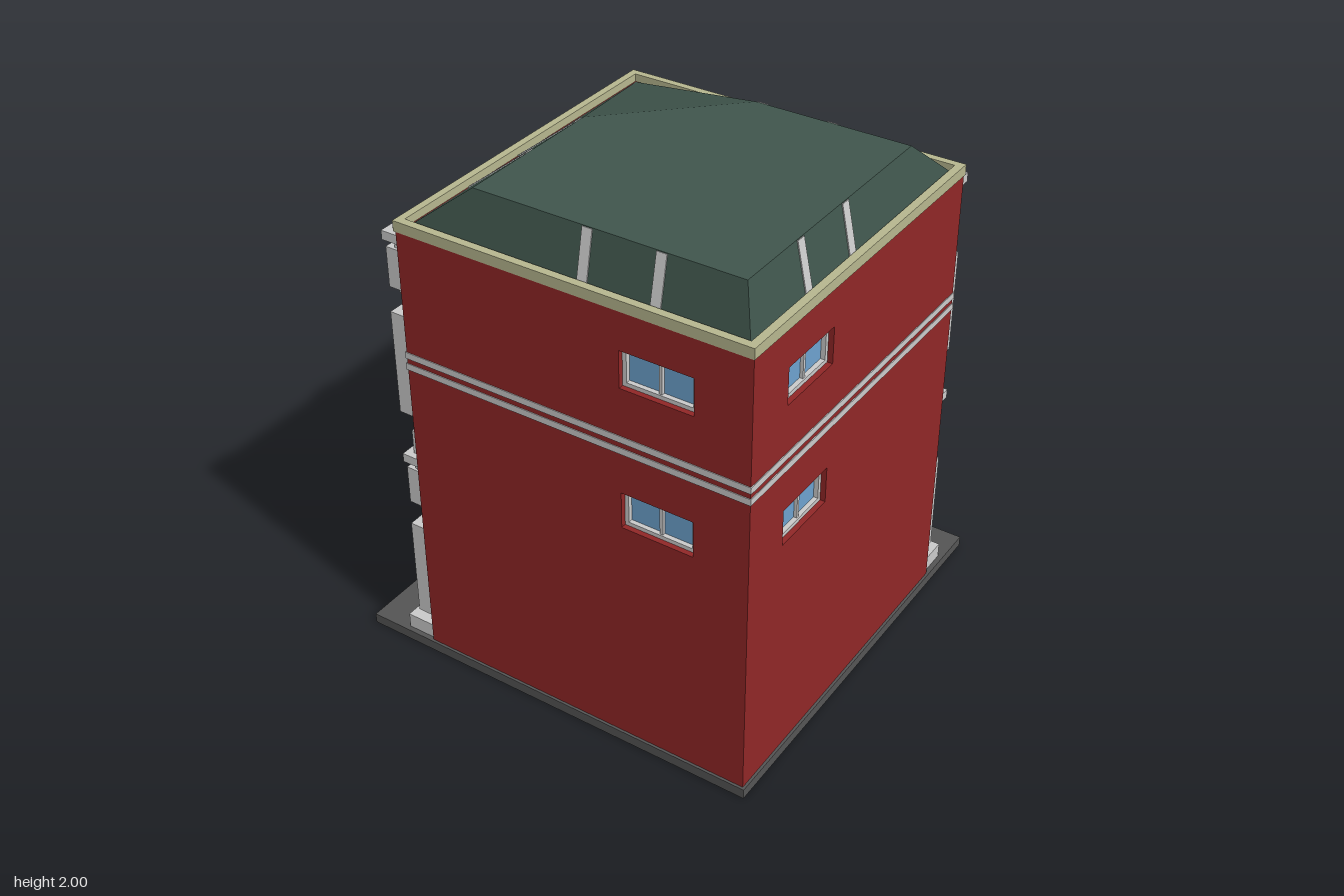
import * as THREE from 'three';
import { ConvexGeometry } from 'three/addons/geometries/ConvexGeometry.js';

const mat = (color) => new THREE.MeshStandardMaterial({ color });
const GREY = mat(0xcccccc), RED = mat(0x912727), GLASS = mat(0x6ea3cf);
const ROOF = mat(0x40564d), TRIM = mat(0xb8b890), GROUND = mat(0x555555);

function add(parent, name, geometry, material) {
  const mesh = new THREE.Mesh(geometry, material);
  mesh.name = name;
  parent.add(mesh);
  return mesh;
}

// Box given by its limits on each axis
function box(parent, name, material, x0, x1, y0, y1, z0, z1) {
  const g = new THREE.BoxGeometry(Math.abs(x1 - x0), y1 - y0, z1 - z0);
  g.translate((x0 + x1) / 2, (y0 + y1) / 2, (z0 + z1) / 2);
  return add(parent, name, g, material);
}

// Counter-clockwise shape, so that walls of holes face the right way
function shapeOf(pts) {
  const v = pts.map(([x, y]) => new THREE.Vector2(x, y));
  return new THREE.Shape(THREE.ShapeUtils.isClockWise(v) ? v.reverse() : v);
}
const rect = (x0, x1, y0, y1) => [[x0, y0], [x1, y0], [x1, y1], [x0, y1]];

// Flat plate in the xy plane with holes, from z0 to z1
function plate(parent, name, material, outline, holes, z0, z1) {
  const shape = shapeOf(outline);
  holes.forEach((h) => shape.holes.push(shapeOf(h)));
  const g = new THREE.ExtrudeGeometry(shape, { depth: z1 - z0, bevelEnabled: false });
  return add(parent, name, g.translate(0, 0, z0), material);
}

// Plate lying flat: points are (x, z), between heights y0 and y1
function slab(parent, name, material, pts, holes, y0, y1) {
  const flip = (p) => p.map(([x, z]) => [x, -z]);
  const mesh = plate(parent, name, material, flip(pts), holes.map(flip), y0, y1);
  mesh.geometry.rotateX(-Math.PI / 2);
  return mesh;
}

const frame = (parent, name, x0, x1, y0, y1, t, z0, z1) =>
  plate(parent, name, GREY, rect(x0, x1, y0, y1), [rect(x0 + t, x1 - t, y0 + t, y1 - t)], z0, z1);

// Framed window: pane columns and the heights of its cross rails
function addWindow(parent, name, a, b, y0, y1, z, cols, rails) {
  const g = new THREE.Group();
  g.name = name;
  parent.add(g);
  const x0 = Math.min(a, b), x1 = Math.max(a, b);
  box(g, 'glass', GLASS, x0 + 0.005, x1 - 0.005, y0 + 0.005, y1 - 0.005, z - 0.01, z + 0.008);
  frame(g, 'windowFrame', x0, x1, y0, y1, 0.015, z, z + 0.025);
  for (let i = 1; i < cols; i++) {
    const x = x0 + ((x1 - x0) * i) / cols;
    box(g, 'mullion', GREY, x - 0.006, x + 0.006, y0, y1, z, z + 0.02);
  }
  rails.forEach((y) => box(g, 'rail', GREY, x0, x1, y - 0.006, y + 0.006, z, z + 0.03));
}

// Ornate pilaster, two stacked orders
function addColumn(parent, x, z) {
  const g = new THREE.Group();
  g.name = 'column';
  g.position.set(x, 0, z);
  parent.add(g);
  box(g, 'columnBase', GREY, -0.073, 0.073, 0.04, 0.1, -0.01, 0.12);
  const profile = [[-0.01, 0.1], [0.03, 0.1], [0.03, 0.58], [0.055, 0.63], [0.055, 0.95],
    [0.03, 0.95], [0.03, 1.49], [0.055, 1.53], [0.055, 1.79], [-0.01, 1.79]];
  const shaft = plate(g, 'columnShaft', GREY, profile, [], -0.035, 0.035);
  shaft.geometry.rotateY(-Math.PI / 2);
  const panel = (name, w, y0, y1) => {
    box(g, name, GREY, -w + 0.002, w - 0.002, y0 + 0.002, y1 - 0.002, -0.01, 0.077);
    frame(g, name + 'Border', -w, w, y0, y1, 0.016, 0, 0.085);
  };
  [0, 0.905].forEach((k) => {
    panel('columnPanel', 0.052, 0.125 + k, 0.535 + k);
    panel('columnSmallPanel', 0.045, 0.63 + k, 0.785 + k);
    box(g, 'columnCap', GREY, -0.06, 0.06, 0.818 + k, 0.853 + k, -0.01, 0.085);
  });
}

export function createModel() {
  const model = new THREE.Group();
  model.name = 'cornerBuilding';
  const side = (name, angle) => {
    const g = new THREE.Group();
    g.name = name;
    g.rotation.y = angle;
    model.add(g);
    return g;
  };
  // Each side works in its own frame: z outward; s maps its x to the shared wall axis
  const sides = [
    { g: side('frontSide', 0), s: 1, plain: true },
    { g: side('plusXSide', Math.PI / 2), s: -1, plain: true },
    { g: side('backSide', Math.PI), s: -1, tall: true },
    { g: side('minusXSide', -Math.PI / 2), s: 1 },
  ];

  // Ground and core masses
  box(model, 'groundPlate', GROUND, -0.825, 0.82, 0, 0.04, -0.825, 0.82);
  slab(model, 'lowerCore', RED,
    [[0.765, 0.765], [-0.46, 0.765], [-0.46, -0.048], [-0.048, -0.46], [0.765, -0.46]], [], 0.04, 1.23);
  box(model, 'upperCore', RED, -0.46, 0.765, 1.222, 1.799, -0.46, 0.765);
  slab(model, 'overhangSoffit', RED, [[-0.549, -0.549], [0, -0.549], [0, -0.4], [-0.4, 0], [-0.549, 0]],
    [], 1.221, 1.24);

  const courses = [0, 0.045];
  for (const { g, s, plain, tall } of sides) {
    const d = plain ? 0.81 : 0.55;
    const map = (pts) => pts.map(([x, y]) => [x * s, y]);
    // String courses
    courses.forEach((k) =>
      box(g, 'stringCourse', GREY, -0.556 * s, 0.813 * s, 1.255 + k, 1.28 + k, d - 0.02, d + (plain ? 0.003 : 0.006)));
    // Roof straps
    const [z0, z1] = plain ? [0.78, 0.738] : [0.528, 0.275];
    const len = Math.hypot(z0 - z1, 0.2);
    [0.169, 0.441].forEach((x) => {
      const strap = add(g, 'roofStrap', new THREE.BoxGeometry(0.038, len - 0.004, 0.008), GREY);
      strap.position.set(x * s, 1.899, (z0 + z1) / 2);
      strap.rotation.x = -Math.atan2(z0 - z1, 0.2);
    });
    if (plain) {
      // Plain wall with two small two-pane windows
      const openings = [[0.957, 1.098], [1.507, 1.647]];
      plate(g, 'plainWall', RED, map(rect(-0.55, 0.81, 0.04, 1.8)),
        openings.map(([a, b]) => map(rect(0.325, 0.602, a, b))), 0.755, 0.81);
      openings.forEach(([a, b]) => addWindow(g, 'smallWindow', 0.325 * s, 0.602 * s, a, b, 0.765, 2, []));
      continue;
    }
    // Facade with openings, notched where the corner window wraps round
    const openings = tall
      ? [[0.06, 1.16, [0.6, 1.03]], [1.37, 1.7, [1.6]]]
      : [[0.1, 0.5, [0.41]], [0.77, 1.17, [1.07]], [1.37, 1.7, [1.6]]];
    plate(g, 'facade', RED, map([[0, 0.04], [0.81, 0.04], [0.81, 1.8], [-0.55, 1.8], [-0.55, 1.7],
      [-0.09, 1.7], [-0.09, 1.34], [-0.55, 1.34], [-0.55, 1.222], [0, 1.222]]),
    openings.map(([a, b]) => map(rect(0.15, 0.65, a, b))), 0.455, 0.55);
    openings.forEach(([a, b, rails]) =>
      addWindow(g, 'facadeWindow', 0.15 * s, 0.65 * s, a, b, 0.475, 4, rails));
    addWindow(g, 'cornerWindow', -0.5 * s, -0.09 * s, 1.34, 1.7, 0.475, 4, [1.6]);
    [0.073, 0.727].forEach((x) => addColumn(g, x * s, 0.55));
    // Entrance courses returning behind the column
    courses.forEach((k) => box(g, 'courseReturn', GREY, 0, 0.145 * s, 0.615 + k, 0.64 + k, 0.54, 0.562));
  }

  // Diagonal entrance
  const e = side('entrance', -0.75 * Math.PI), w = 0.389;
  plate(e, 'entranceWall', RED, rect(-w, w, 0.04, 1.222), [rect(-0.26, 0.26, 0.042, 0.572)], w - 0.03, w);
  courses.forEach((k) =>
    box(e, 'entranceCourse', GREY, -w - 0.008, w + 0.008, 0.615 + k, 0.64 + k, w - 0.01, w + 0.012));
  [-1, 1].forEach((k) => {
    const [a, b] = [0, 0.26 * k].sort((p, q) => p - q);
    box(e, 'doorGlass', GLASS, a, b, 0.042, 0.57, w - 0.035, w - 0.01);
    frame(e, 'doorFrame', a, b, 0.042, 0.572, 0.014, w - 0.03, w + 0.004);
    const curve = new THREE.CatmullRomCurve3([[0.022, 0.12, -0.01], [0.04, 0.14, 0.025], [0.03, 0.2, 0.03],
      [0.03, 0.34, 0.03], [0.04, 0.4, 0.025], [0.022, 0.42, -0.01]]
      .map(([x, y, z]) => new THREE.Vector3(x * k, y, w + z)));
    add(e, 'doorHandle', new THREE.TubeGeometry(curve, 24, 0.006, 8), GREY);
  });
  box(e, 'doorTransom', GREY, -0.26, 0.26, 0.497, 0.509, w - 0.02, w + 0.01);
  slab(e, 'doorstep', GREY, [[-0.26, 0.46], [0.26, 0.46], [0.26, 0.618], [0.235, 0.643],
    [-0.235, 0.643], [-0.26, 0.618]], [], 0.04, 0.055);

  // Eaves ring and mansard roof
  const square = (a, b) => [[a, a], [b, a], [b, b], [a, b]];
  slab(model, 'eavesTrim', TRIM, square(-0.558, 0.812), [square(-0.53, 0.782)], 1.79, 1.83);
  const base = square(-0.528, 0.78).map(([x, z]) => new THREE.Vector3(x, 1.799, z));
  const top = [[-0.275, 0.145], [0.145, -0.275], [0.738, -0.275], [0.738, 0.738], [-0.275, 0.738]]
    .map(([x, z]) => new THREE.Vector3(x, 2, z));
  add(model, 'roof', new ConvexGeometry([...base, ...top]), ROOF);
  return model;
}
